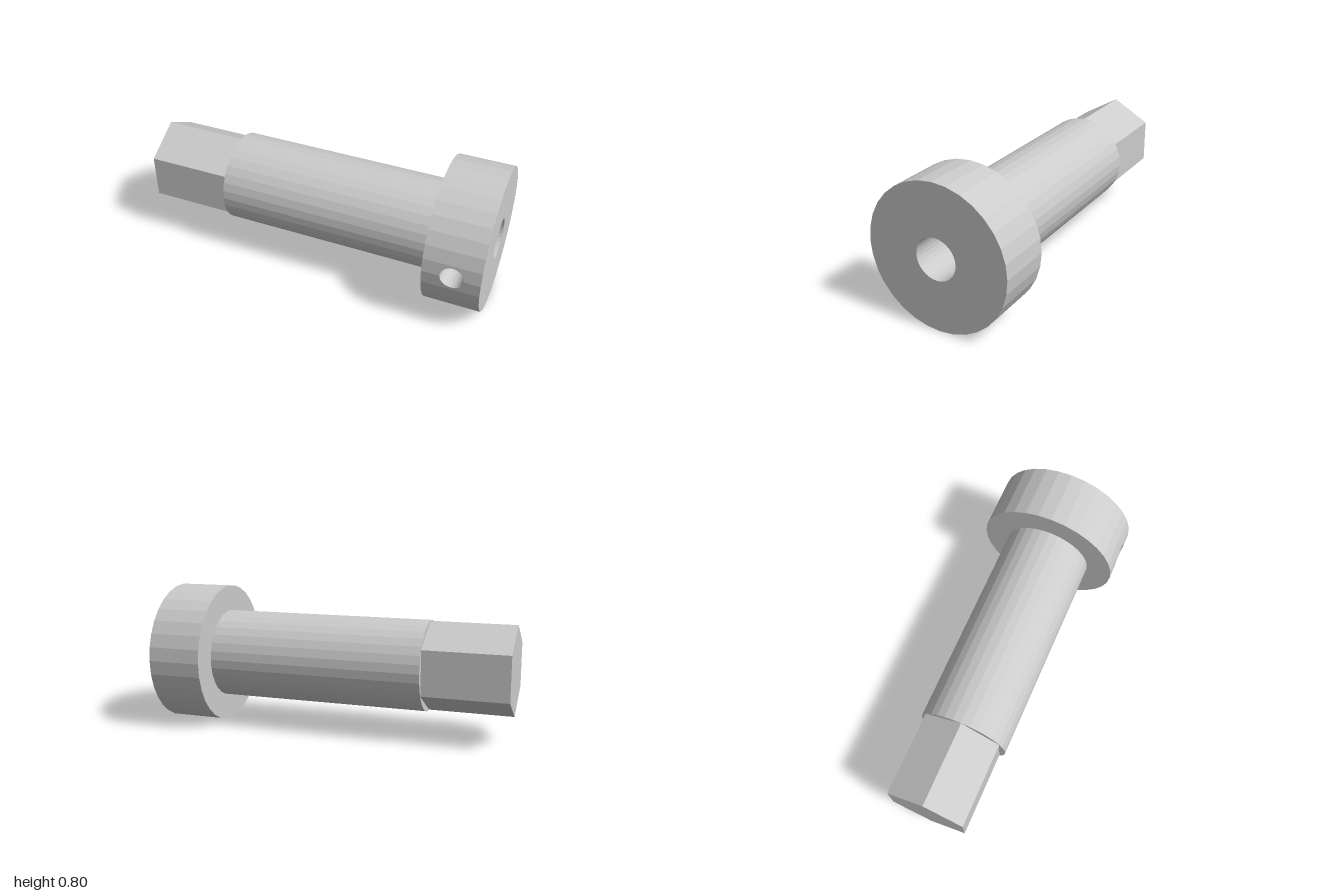
import * as THREE from 'three';

const SIDES = 32;
const HEAD_R = 0.4, SHAFT_R = 0.2525, BORE_R = 0.115, HEX_R = 0.25;
const X_END = -1, X_SHOULDER = -0.53, X_HEAD = 0.69, X_FACE = 1;
const BORE_FLOOR = 0.6;
const PIN = { x: 0.85, r: 0.063, floor: 0.18 };
const STEP = (Math.PI * 2) / SIDES;

const outside = new THREE.MeshStandardMaterial({ color: 0xcccccc, flatShading: true });
const inside = new THREE.MeshStandardMaterial({ color: 0xcccccc, flatShading: true, side: THREE.BackSide });

// Height of the two front facets of the head above the axis
const facetZ = (y) => HEAD_R - Math.abs(y) * Math.tan(STEP / 2);

// Prism or tube lying along x
function barrel(r, x0, x1, sides, open = false, start = 0, length = Math.PI * 2) {
  const g = new THREE.CylinderGeometry(r, r, x1 - x0, sides, 1, open, start, length);
  return g.rotateZ(-Math.PI / 2).translate((x0 + x1) / 2, 0, 0);
}

// Flat annulus or disc facing along x
function ring(inner, outer, x, facing) {
  const g = inner > 0 ? new THREE.RingGeometry(inner, outer, SIDES) : new THREE.CircleGeometry(outer, SIDES);
  return g.rotateY((facing * Math.PI) / 2).translate(x, 0, 0);
}

// One front facet with half of the pin hole cut out of it
function notchedFacet(side) {
  const h = side * HEAD_R * Math.sin(STEP);
  const s = new THREE.Shape();
  s.moveTo(X_HEAD, 0);
  s.lineTo(PIN.x - PIN.r, 0);
  s.absarc(PIN.x, 0, PIN.r, Math.PI, side > 0 ? 0 : Math.PI * 2, side > 0);
  s.lineTo(X_FACE, 0);
  s.lineTo(X_FACE, h);
  s.lineTo(X_HEAD, h);
  const g = new THREE.ShapeGeometry(s, 12);
  const p = g.attributes.position;
  for (let i = 0; i < p.count; i++) p.setZ(i, facetZ(p.getY(i)));
  return g;
}

// Wall of the pin hole, its mouth following the facets
function pinWall() {
  const g = new THREE.CylinderGeometry(PIN.r, PIN.r, 1, 24, 1, true).rotateX(Math.PI / 2);
  const p = g.attributes.position;
  for (let i = 0; i < p.count; i++) p.setZ(i, p.getZ(i) > 0 ? facetZ(p.getY(i)) : PIN.floor);
  return g.translate(PIN.x, 0, 0);
}

export function createModel() {
  const model = new THREE.Group();
  model.name = 'driveShaft';
  const add = (parent, name, geometry, material = outside) => {
    const m = new THREE.Mesh(geometry, material);
    m.name = name;
    parent.add(m);
  };

  // Hexagonal drive end and round shaft
  add(model, 'hexEnd', barrel(HEX_R, X_END, X_SHOULDER, 6, false, Math.PI / 2));
  add(model, 'shaft', barrel(SHAFT_R, X_SHOULDER, X_HEAD, SIDES, true));
  add(model, 'shaftShoulder', ring(0, SHAFT_R, X_SHOULDER, -1));

  // Head collar
  const head = new THREE.Group();
  head.name = 'head';
  add(head, 'headRim', barrel(HEAD_R, X_HEAD, X_FACE, SIDES - 2, true, STEP, Math.PI * 2 - 2 * STEP));
  for (const side of [1, -1]) add(head, 'headRimFacet', notchedFacet(side));
  add(head, 'headBack', ring(SHAFT_R, HEAD_R, X_HEAD, -1));
  add(head, 'headFace', ring(BORE_R, HEAD_R, X_FACE, 1));

  // Central bore
  add(head, 'boreWall', barrel(BORE_R, BORE_FLOOR, X_FACE, SIDES, true), inside);
  add(head, 'boreFloor', ring(0, BORE_R, BORE_FLOOR, 1));

  // Pin hole in the front of the rim
  add(head, 'pinHoleWall', pinWall(), inside);
  add(head, 'pinHoleFloor', new THREE.CircleGeometry(PIN.r, 24).translate(PIN.x, 0, PIN.floor));
  model.add(head);

  // Lift so the head rests on the ground
  for (const part of model.children) part.position.y = HEAD_R;
  return model;
}
